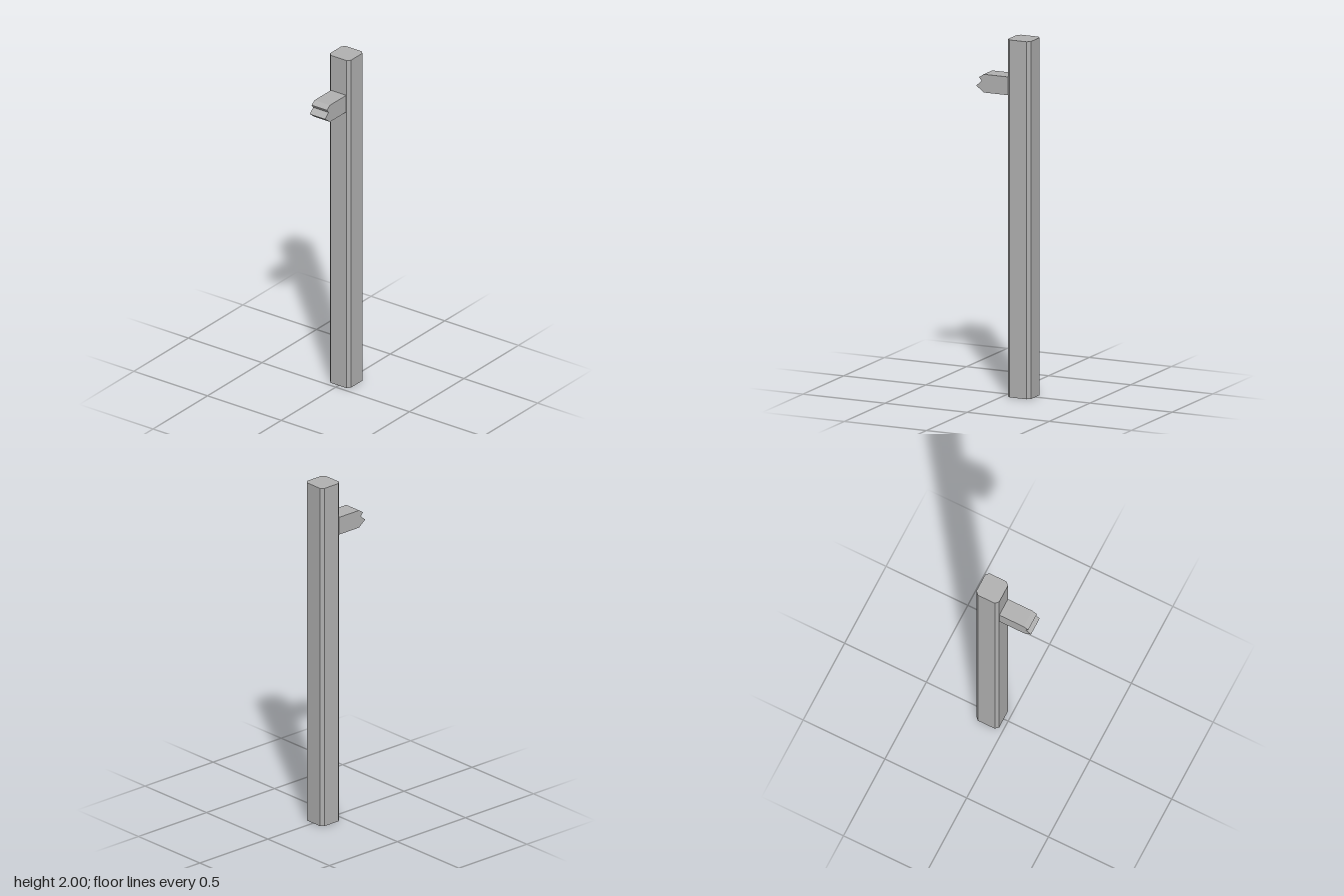
import * as THREE from 'three';

const grey = new THREE.MeshStandardMaterial({ color: 0xb0b0b0 });
grey.name = 'grey';

// Extrude an outline, centred on its own depth axis
function prism(name, points, depth) {
  const shape = new THREE.Shape(points.map(([x, y]) => new THREE.Vector2(x, y)));
  const geometry = new THREE.ExtrudeGeometry(shape, { depth, bevelEnabled: false });
  geometry.translate(0, 0, -depth / 2);
  const mesh = new THREE.Mesh(geometry, grey);
  mesh.name = name;
  return mesh;
}

export function createModel() {
  const model = new THREE.Group();
  model.name = 'postWithBrokenRail';

  // Tall post with chamfered corners
  const w = 0.07, d = 0.071, c = 0.018;
  const post = prism('post', [
    [w - c, -d], [w, c - d], [w, d - c], [w - c, d],
    [c - w, d], [-w, d - c], [-w, c - d], [c - w, -d],
  ], 2);
  post.rotation.x = -Math.PI / 2;
  post.position.set(0.097, 1, -0.001);
  model.add(post);

  // Short rail stub with a splintered end
  const rail = prism('brokenRail', [
    [0.027, 1.685], [0.027, 1.787], [-0.122, 1.787], [-0.15, 1.768],
    [-0.135, 1.748], [-0.167, 1.72], [-0.122, 1.685],
  ], 0.104);
  rail.position.z = -0.001;
  model.add(rail);

  return model;
}
